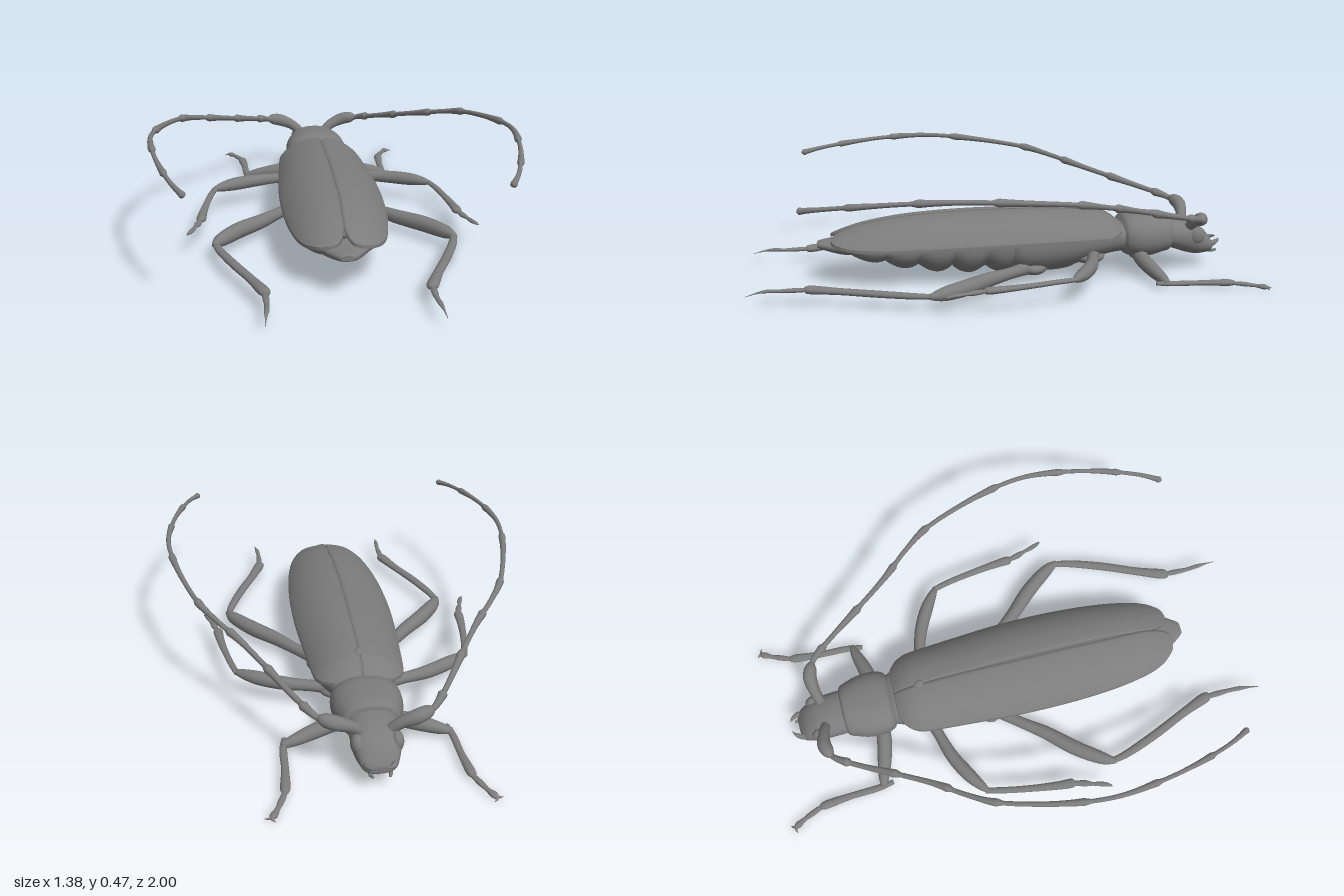
import * as THREE from 'three';

const material = new THREE.MeshStandardMaterial({ color: 0x7c7c7c, side: THREE.DoubleSide });

// Catmull-Rom interpolation of every column of a small table
function resample(rows, per) {
  const out = [], n = rows.length - 1;
  for (let k = 0; k <= n * per; k++) {
    const i = Math.min(Math.floor(k / per), n - 1), t = k / per - i;
    const [a, b, c, d] = [-1, 0, 1, 2].map(o => rows[Math.max(0, Math.min(n, i + o))]);
    out.push(b.map((q, m) => 0.5 * (2 * q + (c[m] - a[m]) * t +
      (2 * a[m] - 5 * q + 4 * c[m] - d[m]) * t * t + (3 * q - a[m] - 3 * c[m] + d[m]) * t * t * t)));
  }
  return out;
}

// Smooth skin over closed rings of points, with fans closing both ends
function skin(name, rings) {
  const pos = [], idx = [], m = rings[0].length, n = rings.length;
  rings.forEach(r => r.forEach(p => pos.push(p.x, p.y, p.z)));
  for (let i = 0; i < n - 1; i++) for (let j = 0; j < m; j++) {
    const a = i * m + j, b = i * m + (j + 1) % m;
    idx.push(a, b, a + m, b, b + m, a + m);
  }
  [0, n - 1].forEach(i => {
    const c = rings[i].reduce((s, p) => s.add(p), new THREE.Vector3()).divideScalar(m);
    const k = pos.length / 3;
    pos.push(c.x, c.y, c.z);
    for (let j = 0; j < m; j++) {
      const a = i * m + j, b = i * m + (j + 1) % m;
      i ? idx.push(a, b, k) : idx.push(b, a, k);
    }
  });
  const g = new THREE.BufferGeometry();
  g.setAttribute('position', new THREE.Float32BufferAttribute(pos, 3));
  g.setIndex(idx);
  g.computeVertexNormals();
  const mesh = new THREE.Mesh(g, material);
  mesh.name = name;
  return mesh;
}

// Body section rows: [z, half width, top, widest height, bottom]
function bodyRing([z, w, top, mid, bot], m = 40) {
  return Array.from({ length: m }, (_, j) => {
    const a = j / m * Math.PI * 2, s = Math.sin(a), c = Math.cos(a);
    return new THREE.Vector3(w * Math.sign(c) * Math.abs(c) ** 0.85,
      mid + (s > 0 ? top - mid : mid - bot) * Math.sign(s) * Math.abs(s) ** 0.9, z);
  });
}
const loft = (name, rows) => skin(name, resample(rows, 6).map(r => bodyRing(r)));

// Limb rows: [x, y, z, radius]; flat squashes the section vertically
function limb(name, rows, side, flat = 1, per = 6, m = 12) {
  const pts = resample(rows, per).map(([x, y, z, r]) => ({ p: new THREE.Vector3(x * side, y, z), r: Math.max(r, 0.0015) }));
  return skin(name, pts.map(({ p, r }, i) => {
    const t = pts[Math.min(i + 1, pts.length - 1)].p.clone().sub(pts[Math.max(i - 1, 0)].p).normalize();
    const a = new THREE.Vector3().crossVectors(t, new THREE.Vector3(0, 1, 0)).normalize();
    const b = new THREE.Vector3().crossVectors(t, a);
    return Array.from({ length: m }, (_, j) => {
      const q = j / m * Math.PI * 2;
      return p.clone().addScaledVector(a, r * Math.cos(q)).addScaledVector(b, r * flat * Math.sin(q));
    });
  }));
}

function blob(name, x, y, z, sx, sy, sz, turn = 0) {
  const mesh = new THREE.Mesh(new THREE.SphereGeometry(1, 24, 16), material);
  mesh.name = name;
  mesh.position.set(x, y, z);
  mesh.scale.set(sx, sy, sz);
  mesh.rotation.y = turn;
  return mesh;
}

// Wing case rows: [z, inner x, outer x, arch half width, arch top, edge height]
function wingCase(side) {
  const rows = [
    [-0.475, 0, 0.1, 0.125, 0.21, 0.165], [-0.45, 0, 0.135, 0.145, 0.23, 0.168],
    [-0.42, 0, 0.158, 0.16, 0.245, 0.17], [-0.37, 0, 0.172, 0.172, 0.256, 0.172],
    [-0.18, 0, 0.187, 0.187, 0.268, 0.172], [0.02, 0.004, 0.199, 0.199, 0.272, 0.172],
    [0.22, 0.004, 0.199, 0.199, 0.268, 0.168], [0.4, 0.004, 0.187, 0.187, 0.256, 0.163],
    [0.54, 0, 0.164, 0.166, 0.234, 0.158], [0.615, 0.002, 0.138, 0.148, 0.214, 0.153],
    [0.655, 0.013, 0.11, 0.135, 0.2, 0.15], [0.675, 0.028, 0.087, 0.13, 0.19, 0.15],
    [0.682, 0.052, 0.06, 0.13, 0.186, 0.15]];
  const n = 20;
  return skin('wingCase', resample(rows, 6).map(([z, x0, x1, w, top, edge]) => {
    const ring = [];
    for (let k = 0; k <= 2 * n + 1; k++) {
      const f = k <= n ? k / n : (2 * n + 1 - k) / n;
      const x = Math.max(x0, 0) + (x1 - Math.max(x0, 0)) * Math.cos(f * Math.PI / 2);
      const y = edge + (top - edge) * Math.max(0, 1 - Math.min(1, x / w) ** 2.3) ** 0.85;
      ring.push(new THREE.Vector3(x * side, k <= n ? y : y - 0.012, z));
    }
    return side > 0 ? ring : ring.reverse();
  }));
}

// Abdomen of overlapping, bulging rings
function abdomen() {
  const base = resample([[-0.05, 0.17, 0.215, 0.16, 0.03], [0.2, 0.185, 0.215, 0.16, 0.035],
    [0.4, 0.168, 0.205, 0.155, 0.06], [0.55, 0.135, 0.19, 0.153, 0.093],
    [0.66, 0.075, 0.175, 0.153, 0.122], [0.715, 0.042, 0.17, 0.153, 0.134], [0.735, 0.025, 0.165, 0.153, 0.142]], 20);
  return skin('abdomen', base.map(([z, w, top, mid, bot]) => {
    const t = ((z + 0.05) / 0.131) % 1;
    const bulge = 0.76 + 0.28 * Math.sin(Math.PI * t) ** 0.7;
    return bodyRing([z, w * (0.93 + (bulge - 0.76) * 0.3), top, mid, mid - (mid - bot) * bulge]);
  }));
}

function antenna(side) {
  const g = new THREE.Group();
  g.name = 'antenna';
  g.add(limb('antennaBase', [[0.05, 0.175, -0.765, 0.02], [0.09, 0.208, -0.777, 0.022], [0.14, 0.23, -0.783, 0.027],
    [0.18, 0.24, -0.772, 0.024], [0.203, 0.243, -0.758, 0.008]], side));
  const path = [[0.195, 0.24, -0.765], [0.225, 0.253, -0.735], [0.285, 0.28, -0.645], [0.36, 0.318, -0.52],
    [0.44, 0.356, -0.395], [0.52, 0.388, -0.29], [0.587, 0.416, -0.175], [0.652, 0.445, 0.04],
    [0.68, 0.461, 0.23], [0.664, 0.459, 0.41], [0.632, 0.448, 0.565], [0.59, 0.434, 0.7], [0.547, 0.42, 0.79]];
  // each segment swells towards its far end
  const fine = resample(path, 8).map((p, i) => [...p, (0.011 + 0.009 * ((i % 12) / 12) ** 2.5) * (1 - i / 300)]);
  fine[fine.length - 1][3] = 0.005;
  g.add(limb('antennaWhip', fine, side, 1, 2, 10));
  return g;
}

const legs = {
  frontLeg: [
    ['femur', [[0.04, 0.085, -0.555, 0.028], [0.12, 0.068, -0.555, 0.03], [0.2, 0.05, -0.572, 0.029], [0.27, 0.034, -0.592, 0.022], [0.315, 0.024, -0.602, 0.012]]],
    ['tibia', [[0.302, 0.022, -0.56, 0.01], [0.312, 0.022, -0.63, 0.014], [0.316, 0.021, -0.74, 0.014], [0.325, 0.02, -0.84, 0.018], [0.33, 0.019, -0.868, 0.01]]],
    ['foot', [[0.325, 0.018, -0.855, 0.009], [0.345, 0.016, -0.905, 0.012], [0.36, 0.014, -0.94, 0.009], [0.376, 0.012, -0.97, 0.014], [0.385, 0.011, -0.985, 0.006]]],
    ['claw', [[0.375, 0.012, -0.972, 0.008], [0.39, 0.01, -0.982, 0.006], [0.407, 0.007, -0.978, 0.001]]],
    ['claw', [[0.375, 0.012, -0.972, 0.008], [0.381, 0.01, -0.988, 0.006], [0.372, 0.007, -1, 0.001]]]],
  middleLeg: [
    ['femur', [[0.09, 0.095, -0.36, 0.028], [0.18, 0.097, -0.335, 0.022], [0.28, 0.098, -0.305, 0.026], [0.37, 0.1, -0.26, 0.027], [0.43, 0.1, -0.22, 0.018], [0.455, 0.1, -0.2, 0.008]]],
    ['tibia', [[0.45, 0.1, -0.212, 0.012], [0.47, 0.1, -0.13, 0.013], [0.488, 0.096, -0.03, 0.014], [0.502, 0.093, 0.07, 0.017], [0.507, 0.092, 0.13, 0.019], [0.508, 0.092, 0.145, 0.007]]],
    ['foot', [[0.507, 0.092, 0.13, 0.009], [0.52, 0.09, 0.18, 0.013], [0.53, 0.09, 0.21, 0.008], [0.54, 0.09, 0.245, 0.01], [0.55, 0.09, 0.27, 0.008], [0.558, 0.088, 0.285, 0.003]]]],
  hindLeg: [
    ['femur', [[0.1, 0.055, -0.11, 0.03], [0.19, 0.058, -0.01, 0.023], [0.27, 0.06, 0.09, 0.028], [0.36, 0.062, 0.185, 0.031], [0.43, 0.062, 0.28, 0.026], [0.458, 0.062, 0.335, 0.01]]],
    ['tibia', [[0.452, 0.062, 0.32, 0.012], [0.437, 0.062, 0.39, 0.016], [0.39, 0.062, 0.52, 0.018], [0.33, 0.06, 0.66, 0.018], [0.29, 0.059, 0.765, 0.022], [0.285, 0.058, 0.785, 0.008]]],
    ['foot', [[0.288, 0.058, 0.765, 0.009], [0.286, 0.058, 0.82, 0.012], [0.285, 0.058, 0.87, 0.009], [0.288, 0.06, 0.92, 0.009], [0.292, 0.055, 0.96, 0.004], [0.296, 0.044, 1, 0.001]]]],
};

export function createModel() {
  const model = new THREE.Group();
  model.name = 'longhornBeetle';

  // Body
  model.add(abdomen());
  model.add(loft('thorax', [[-0.51, 0.095, 0.2, 0.15, 0.085], [-0.44, 0.125, 0.215, 0.16, 0.08], [-0.36, 0.155, 0.22, 0.16, 0.064],
    [-0.25, 0.168, 0.22, 0.155, 0.033], [-0.14, 0.175, 0.22, 0.15, 0.02], [-0.04, 0.175, 0.22, 0.15, 0.03], [0.02, 0.12, 0.2, 0.15, 0.06]]));
  model.add(loft('pronotum', [[-0.69, 0.075, 0.205, 0.15, 0.1], [-0.683, 0.1, 0.226, 0.15, 0.08], [-0.65, 0.115, 0.235, 0.15, 0.072],
    [-0.6, 0.129, 0.238, 0.15, 0.06], [-0.54, 0.131, 0.238, 0.15, 0.06], [-0.505, 0.12, 0.23, 0.15, 0.07],
    [-0.49, 0.105, 0.215, 0.15, 0.085], [-0.48, 0.085, 0.2, 0.15, 0.1]]));
  model.add(loft('head', [[-0.878, 0.035, 0.1, 0.088, 0.074], [-0.865, 0.06, 0.125, 0.095, 0.064], [-0.84, 0.073, 0.158, 0.11, 0.058],
    [-0.8, 0.085, 0.185, 0.125, 0.056], [-0.75, 0.088, 0.2, 0.14, 0.068], [-0.7, 0.09, 0.206, 0.145, 0.086], [-0.66, 0.088, 0.205, 0.145, 0.095]]));
  model.add(blob('scutellum', 0, 0.253, -0.365, 0.016, 0.008, 0.022));
  model.add(blob('breastplate', 0, 0.04, -0.19, 0.05, 0.03, 0.12));
  // Floor of the groove between the wing cases
  model.add(limb('wingSeam', [[0, 0.215, -0.44, 0.01], [0, 0.248, -0.2, 0.014], [0, 0.253, 0.02, 0.014], [0, 0.249, 0.22, 0.014],
    [0, 0.237, 0.4, 0.014], [0, 0.214, 0.54, 0.012], [0, 0.192, 0.62, 0.01]], 1));

  for (const side of [1, -1]) {
    model.add(wingCase(side), antenna(side));
    // Eyes and mouthparts
    model.add(blob('eye', side * 0.07, 0.145, -0.795, 0.024, 0.038, 0.034));
    model.add(limb('mandible', [[0.042, 0.1, -0.845, 0.016], [0.048, 0.105, -0.872, 0.012], [0.036, 0.112, -0.895, 0.007], [0.02, 0.117, -0.907, 0.001]], side));
    model.add(limb('palp', [[0.028, 0.075, -0.845, 0.007], [0.036, 0.07, -0.87, 0.007], [0.03, 0.072, -0.893, 0.005]], side));
    // Hip joints
    model.add(blob('frontHip', side * 0.05, 0.08, -0.56, 0.05, 0.03, 0.045));
    model.add(blob('middleHip', side * 0.08, 0.085, -0.34, 0.07, 0.03, 0.065));
    model.add(blob('hindHip', side * 0.08, 0.052, -0.12, 0.09, 0.032, 0.055, side * -0.25));
    for (const [name, parts] of Object.entries(legs)) {
      const leg = new THREE.Group();
      leg.name = name;
      parts.forEach(([part, rows]) => leg.add(limb(part, rows, side, part === 'femur' ? 1 : 0.7)));
      model.add(leg);
    }
  }
  return model;
}
